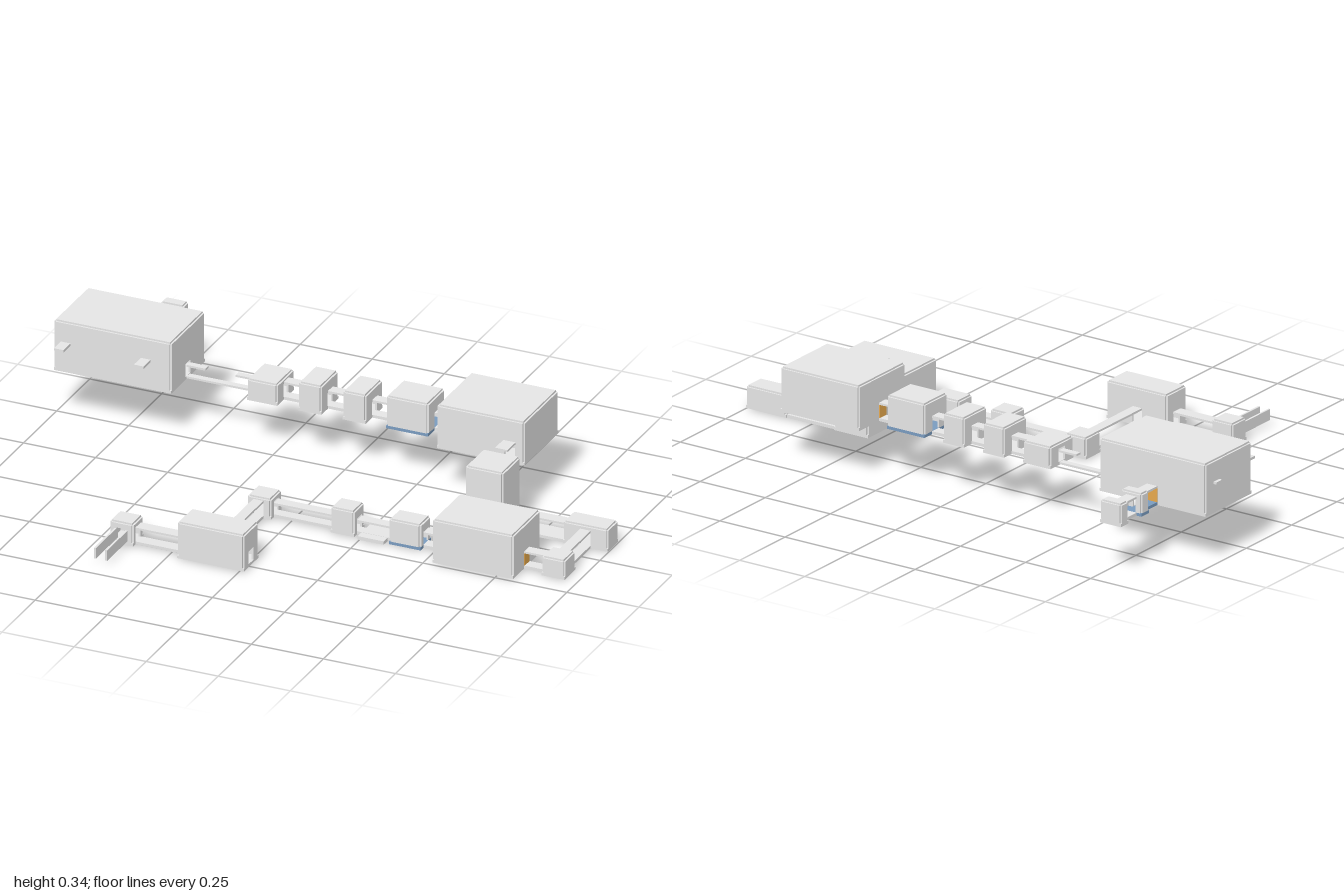
import * as THREE from 'three';

const mat = (name, color) => {
  const m = new THREE.MeshStandardMaterial({ color });
  m.name = name;
  return m;
};

export function createModel() {
  const root = new THREE.Group();
  root.name = 'roomComplex';
  root.position.x = 0.004;
  const grey = mat('concreteGrey', 0xe6e6e6);
  const blue = mat('floorBlue', 0x7a9cc0);
  const orange = mat('barrierOrange', 0xf0b050);
  const T = 0.01; // slab and wall thickness
  const UP = 0.168; // height of the upper storey

  const box = (parent, name, x0, x1, y0, y1, z0, z1, m = grey) => {
    const mesh = new THREE.Mesh(new THREE.BoxGeometry(x1 - x0, y1 - y0, z1 - z0), m);
    mesh.position.set((x0 + x1) / 2, (y0 + y1) / 2, (z0 + z1) / 2);
    mesh.name = name;
    parent.add(mesh);
  };

  // Hollow room: full-size floor, inset roof and four walls with notched corners.
  // doors: { n|s|e|w : [centre along the wall, sill height above the floor] }
  const room = (name, x0, x1, z0, z1, y0, y1, doors = {}, floorMat = grey) => {
    const g = new THREE.Group();
    g.name = name;
    root.add(g);
    const t = 0.006;
    box(g, 'floor', x0, x1, y0, y0 + T, z0, z1, floorMat);
    box(g, 'roof', x0 + t, x1 - t, y1 - T, y1, z0 + t, z1 - t);
    const lo = y0 + T, hi = y1 - 0.006;
    for (const side of ['n', 's', 'e', 'w']) {
      const alongX = side === 'n' || side === 's';
      const [a, b] = alongX ? [x0 + t, x1 - t] : [z0 + t, z1 - t];
      const panel = (u0, u1, v0, v1) => {
        if (u1 - u0 < 0.001 || v1 - v0 < 0.001) return;
        if (side === 'n') box(g, 'backWall', u0, u1, v0, v1, z0, z0 + t);
        if (side === 's') box(g, 'frontWall', u0, u1, v0, v1, z1 - t, z1);
        if (side === 'e') box(g, 'leftWall', x1 - t, x1, v0, v1, u0, u1);
        if (side === 'w') box(g, 'rightWall', x0, x0 + t, v0, v1, u0, u1);
      };
      if (!doors[side]) {
        panel(a, b, lo, hi);
        continue;
      }
      const [c, sill = 0] = doors[side];
      const d0 = c - 0.018, d1 = c + 0.018;
      const s0 = lo + sill, s1 = Math.min(s0 + 0.045, hi);
      panel(a, d0, lo, hi);
      panel(d1, b, lo, hi);
      panel(d0, d1, lo, s0);
      panel(d0, d1, s1, hi);
    }
  };

  // Open-sided passage: a floor slab below a ceiling slab.
  const passage = (x0, x1, z0, z1, y0, top, m = grey) => {
    box(root, 'passageFloor', x0, x1, y0, y0 + T, z0, z1, m);
    box(root, 'passageCeiling', x0, x1, top - 0.007, top, z0, z1);
  };

  // Upper storey rooms
  room('mainHall', -0.992, -0.585, -0.458, -0.203, UP, 0.345, { n: [-0.79], e: [-0.33] });
  room('rearRoomNear', -0.825, -0.745, -0.572, -0.53, UP, 0.245, { n: [-0.785], s: [-0.785] }, blue);
  room('rearRoomFar', -0.825, -0.745, -0.685, -0.642, UP, 0.245, { s: [-0.785] });
  for (const [x0, x1, top, m] of [
    [-0.35, -0.245, 0.242, grey],
    [-0.172, -0.092, 0.268, grey],
    [-0.018, 0.062, 0.268, grey],
    [0.133, 0.278, 0.282, blue],
  ]) room('smallRoom', x0, x1, -0.392, -0.264, UP, top, { e: [-0.33], w: [-0.33] }, m);
  room('upperHall', 0.337, 0.64, -0.46, -0.203, UP, 0.32, { w: [-0.33], s: [0.59] });

  // Upper storey passages
  passage(-0.807, -0.767, -0.53, -0.458, UP, 0.232, blue);
  passage(-0.807, -0.767, -0.642, -0.572, UP, 0.232);
  for (const [x0, x1] of [[-0.245, -0.172], [-0.092, -0.018], [0.062, 0.133], [0.278, 0.337]])
    passage(x0, x1, -0.35, -0.314, UP, 0.23);
  passage(0.567, 0.61, -0.203, -0.142, UP, 0.244);
  // Narrow catwalk with a roof only at its two ends
  box(root, 'catwalk', -0.585, -0.35, UP + 0.002, UP + 0.009, -0.342, -0.32);
  for (const x of [-0.585, -0.415])
    box(root, 'catwalkRoof', x, x + 0.065, 0.21, 0.217, -0.342, -0.32);

  // Ledges on the main hall
  for (const x of [-0.968, -0.69])
    box(root, 'ledge', x, x + 0.034, 0.265, 0.273, -0.21, -0.15);
  box(root, 'sideLedge', -1.003, -0.985, 0.265, 0.273, -0.413, -0.382);

  // Stair shaft between the two storeys
  room('stairShaft', 0.525, 0.655, -0.142, -0.008, 0.003, 0.232, { n: [0.59, UP - 0.003], e: [-0.1] });

  // Lower storey rooms
  room('cornerRoomBack', 0.84, 0.995, -0.14, -0.06, 0.003, 0.08, { w: [-0.1], s: [0.918] });
  room('cornerRoomFront', 0.875, 0.955, 0.097, 0.178, 0.003, 0.07, { n: [0.918], w: [0.138] });
  room('lowerHall', 0.525, 0.805, 0.035, 0.24, 0.003, 0.155, { e: [0.138], w: [0.138] });
  room('blueRoom', 0.345, 0.455, 0.1, 0.178, 0.003, 0.092, { e: [0.138], w: [0.138] }, blue);
  room('midRoom', 0.143, 0.225, 0.1, 0.178, 0.003, 0.092, { e: [0.138], w: [0.138] });
  room('turnRoom', -0.146, -0.064, 0.097, 0.178, 0.003, 0.075, { e: [0.138], s: [-0.107] });
  room('frontHall', -0.22, 0.012, 0.437, 0.547, 0.003, 0.13, { n: [-0.107], w: [0.493], e: [0.493] });
  room('exitRoom', -0.462, -0.38, 0.453, 0.53, 0.003, 0.08, { e: [0.493], s: [-0.422] });

  // Lower storey passages
  box(root, 'wideFloor', 0.655, 0.84, 0.003, 0.013, -0.136, -0.064);
  box(root, 'wideCeiling', 0.655, 0.84, 0.056, 0.063, -0.12, -0.08);
  passage(0.9, 0.936, -0.06, 0.097, 0.003, 0.065);
  passage(0.805, 0.875, 0.12, 0.157, 0.003, 0.063);
  passage(0.455, 0.525, 0.118, 0.157, 0.003, 0.058);
  passage(0.225, 0.345, 0.12, 0.155, 0.003, 0.053);
  passage(-0.064, 0.143, 0.12, 0.155, 0.003, 0.053);
  passage(-0.125, -0.09, 0.178, 0.437, 0.003, 0.065);
  passage(-0.38, -0.22, 0.472, 0.513, 0.003, 0.062);
  box(root, 'crossingPlatform', 0.24, 0.33, 0, 0.012, 0.09, 0.184);

  // Parallel walls leading out of the exit room
  for (const x of [-0.445, -0.406])
    box(root, 'exitWall', x, x + 0.007, 0.018, 0.055, 0.52, 0.685);

  // Orange barriers closing three doorways
  box(root, 'barrier', 0.798, 0.807, 0.013, 0.057, 0.119, 0.157, orange);
  box(root, 'barrier', -0.808, -0.77, 0.178, 0.225, -0.46, -0.451, orange);
  box(root, 'barrier', 0.335, 0.344, 0.178, 0.223, -0.349, -0.311, orange);

  return root;
}
